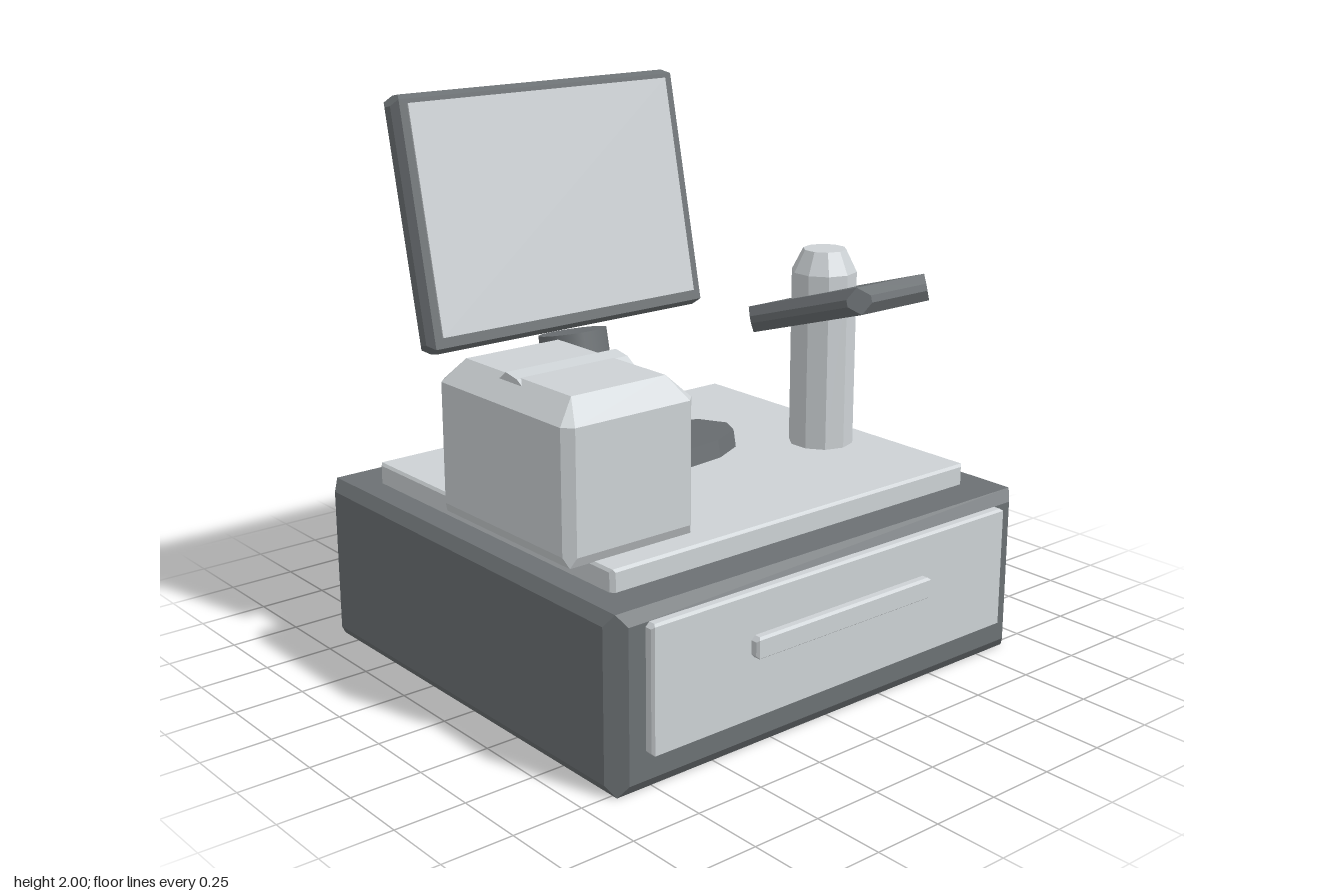
import * as THREE from 'three';
import { ConvexGeometry } from 'three/addons/geometries/ConvexGeometry.js';

const dark = new THREE.MeshStandardMaterial({ color: 0x6c7174 });
dark.name = 'darkGrey';
const light = new THREE.MeshStandardMaterial({ color: 0xcdd2d5 });
light.name = 'lightGrey';

// Box with cut upright corners (c) and bevelled top and bottom rims (inset and drop)
function chamferBox(w, h, d, c, drop, topInset = c / 2, topDrop = drop) {
  const points = [];
  for (const sx of [-1, 1]) for (const sz of [-1, 1]) {
    for (const y of [-h / 2 + drop, h / 2 - topDrop]) {
      points.push(new THREE.Vector3(sx * w / 2, y, sz * (d / 2 - c)));
      points.push(new THREE.Vector3(sx * (w / 2 - c), y, sz * d / 2));
    }
    points.push(new THREE.Vector3(sx * (w / 2 - c / 2), -h / 2, sz * (d / 2 - c / 2)));
    points.push(new THREE.Vector3(sx * (w / 2 - topInset), h / 2, sz * (d / 2 - topInset)));
  }
  return new ConvexGeometry(points);
}

// The same box lying on its back, so that its broad face points to +z
const panel = (w, h, d, c, e) => chamferBox(w, d, h, c, e).rotateX(Math.PI / 2);

// Cylinder with flat facets
const faceted = (r1, r2, h, n) => new THREE.CylinderGeometry(r1, r2, h, n).toNonIndexed();

function add(parent, name, geometry, material, x, y, z) {
  const mesh = new THREE.Mesh(geometry, material);
  mesh.name = name;
  mesh.position.set(x, y, z);
  parent.add(mesh);
  return mesh;
}

function group(parent, name, x, y, z) {
  const g = new THREE.Group();
  g.name = name;
  g.position.set(x, y, z);
  parent.add(g);
  return g;
}

export function createModel() {
  const root = new THREE.Group();
  root.name = 'cashRegister';

  // Cash drawer
  const drawer = group(root, 'cashDrawer', 0, 0, 0);
  add(drawer, 'drawerCase', chamferBox(1.82, 0.6, 1.67, 0.055, 0.04), dark, 0, 0.3, -0.035);
  add(drawer, 'topPlate', chamferBox(1.58, 0.09, 1.34, 0.014, 0.01), light, 0, 0.63, -0.03);
  add(drawer, 'drawerFront', panel(1.58, 0.435, 0.06, 0.014, 0.01), light, 0, 0.3425, 0.805);
  add(drawer, 'drawerHandle', panel(0.79, 0.075, 0.05, 0.014, 0.01), light, 0, 0.378, 0.842);

  // Monitor on its stand, leaning back as one piece
  const monitor = group(root, 'monitor', -0.24, 0.743, -0.195);
  monitor.rotation.x = -0.212;
  const foot = faceted(0.515, 0.515, 0.06, 16);
  foot.computeVertexNormals();
  add(monitor, 'standFoot', foot, dark, 0, -0.03, 0);
  add(monitor, 'standPole', new THREE.CylinderGeometry(0.12, 0.12, 0.42, 20), dark, 0, 0.203, 0);
  add(monitor, 'monitorCase', panel(1.18, 0.86, 0.095, 0.035, 0.03), dark, 0, 0.855, -0.02);
  add(monitor, 'screen', new THREE.BoxGeometry(1.085, 0.775, 0.006), light, 0, 0.865, 0.03);

  // Receipt printer with a ridge across its top
  const printer = group(root, 'receiptPrinter', -0.637, 0, 0.207);
  add(printer, 'printerCase', chamferBox(0.51, 0.522, 0.705, 0.032, 0.035, 0.072, 0.075),
    light, 0, 0.934, 0);
  const ridge = [];
  for (const x of [-0.2, 0.235]) {
    for (const [y, z] of [[1.14, -0.12], [1.205, -0.035], [1.194, 0.025], [1.14, 0.11]]) {
      ridge.push(new THREE.Vector3(x, y, z));
    }
  }
  add(printer, 'paperRidge', new ConvexGeometry(ridge), light, 0, 0, 0);

  // Card reader on a faceted post
  const reader = group(root, 'cardReader', 0.59, 0, 0.12);
  const post = faceted(0.118, 0.118, 0.65, 10);
  post.computeVertexNormals();
  add(reader, 'readerPost', post, light, 0, 0.99, 0);
  const cap = faceted(0.078, 0.118, 0.08, 10);
  cap.computeVertexNormals();
  add(reader, 'postCap', cap, light, 0, 1.355, 0);
  const head = add(reader, 'readerHead', chamferBox(0.395, 0.095, 0.63, 0.06, 0.035),
    dark, 0, 1.205, 0.07);
  head.rotation.x = -0.3;

  return root;
}
